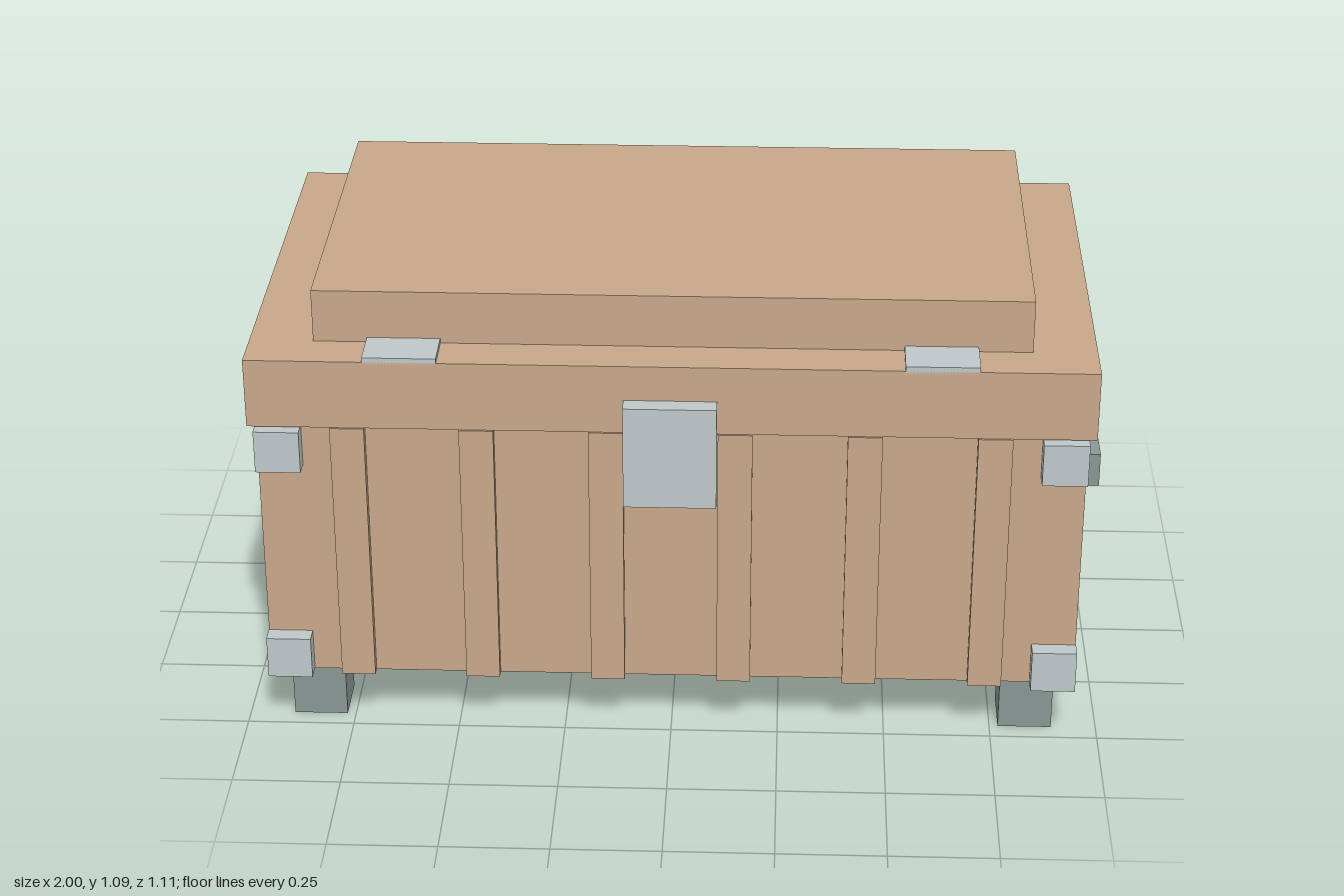
import * as THREE from 'three';

export function createModel() {
  const chest = new THREE.Group();
  chest.name = 'storageChest';

  const material = (name, color) => {
    const m = new THREE.MeshStandardMaterial({ color });
    m.name = name;
    return m;
  };
  const wood = material('tanWood', 0xc8a98b);
  const lightMetal = material('lightMetal', 0xbfc8ca);
  const darkMetal = material('darkMetal', 0x899795);

  // Box given by its lower and upper limits on each axis
  const block = (name, mat, [x0, x1], [y0, y1], [z0, z1]) => {
    const mesh = new THREE.Mesh(new THREE.BoxGeometry(x1 - x0, y1 - y0, z1 - z0), mat);
    mesh.position.set((x0 + x1) / 2, (y0 + y1) / 2, (z0 + z1) / 2);
    mesh.name = name;
    chest.add(mesh);
  };

  // Body and stepped lid
  block('body', wood, [-0.937, 0.937], [0.15, 0.795], [-0.545, 0.497]);
  block('lid', wood, [-0.955, 0.955], [0.795, 0.96], [-0.556, 0.515]);
  block('lidPanel', wood, [-0.81, 0.81], [0.96, 1.085], [-0.465, 0.41]);

  // Upright slats on the front
  for (let i = 0; i < 6; i++) {
    const x = (i - 2.5) * 0.2915;
    block('frontSlat', wood, [x - 0.039, x + 0.039], [0.15, 0.795], [0.49, 0.52]);
  }

  // Latch
  block('latch', lightMetal, [-0.105, 0.105], [0.628, 0.876], [0.49, 0.558]);

  for (const [name, s] of [['left', 1], ['right', -1]]) {
    const span = (a, b) => (s > 0 ? [a, b] : [-b, -a]);

    // Carrying handle
    block(name + 'Handle', darkMetal, span(0.93, 1), [0.502, 0.585], [-0.235, 0.182]);

    // Lid strap, passing under the raised panel
    block(name + 'LidStrap', lightMetal, span(0.522, 0.688), [0.955, 0.971], [-0.556, 0.515]);

    // Front corner brackets
    for (const y of [0.15, 0.69])
      block(name + 'CornerBracket', lightMetal, span(0.835, 0.938), [y, y + 0.102], [0.495, 0.538]);

    // Feet
    for (const z of [-0.505, 0.33])
      block(name + 'Foot', darkMetal, span(0.77, 0.895), [0, 0.15], [z, z + 0.125]);
  }
  return chest;
}
